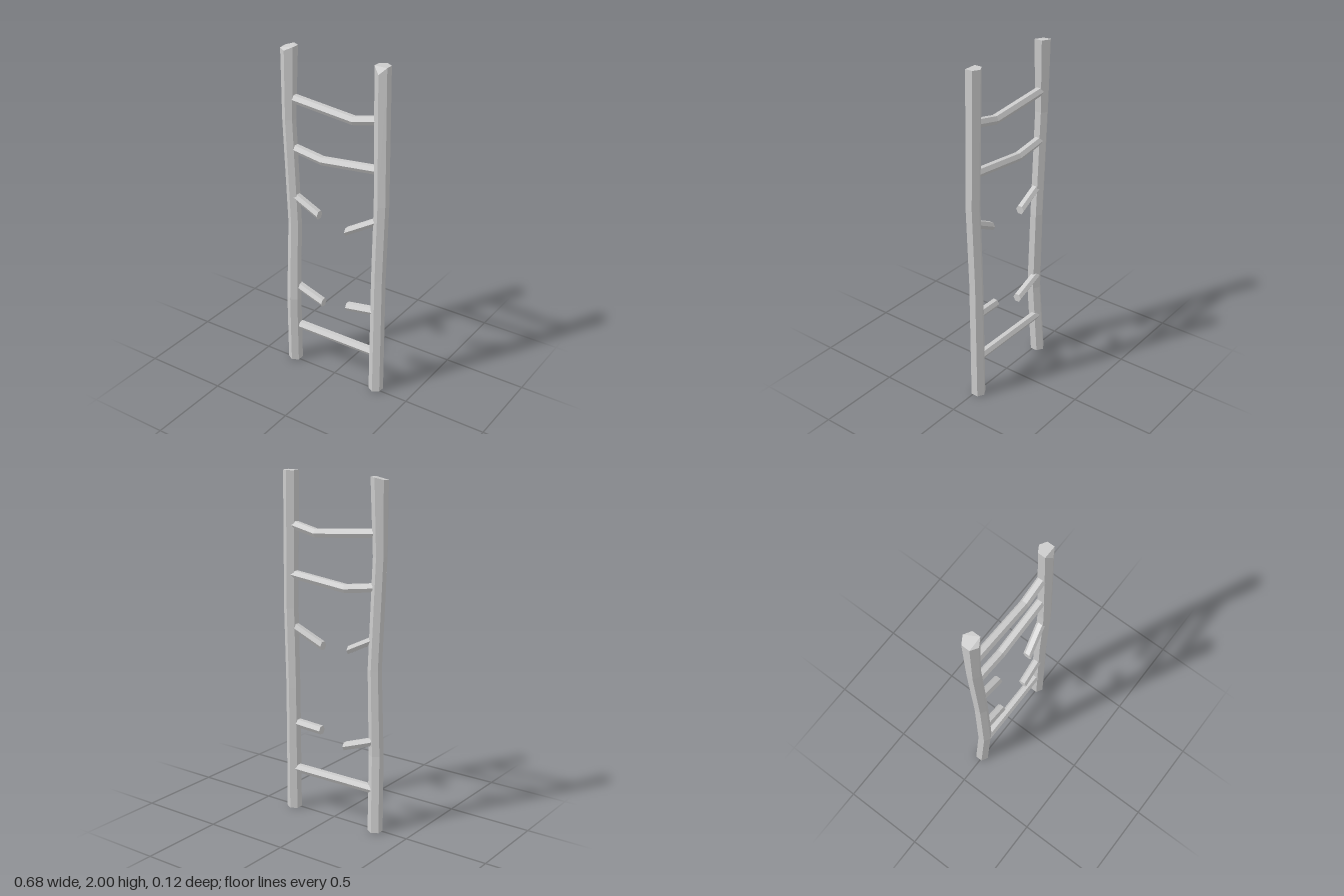
import * as THREE from 'three';

const SIDES = 6;
const material = new THREE.MeshStandardMaterial({
  color: 0xcccccc, flatShading: true, side: THREE.DoubleSide,
});

// Joins six-sided rings into a closed solid.
function loft(name, rings) {
  const index = [];
  const last = (rings.length - 1) * SIDES;
  for (let i = 0; i < rings.length - 1; i++) {
    for (let k = 0; k < SIDES; k++) {
      const a = i * SIDES + k;
      const b = i * SIDES + (k + 1) % SIDES;
      index.push(a, a + SIDES, b, b, a + SIDES, b + SIDES);
    }
  }
  for (let k = 1; k < SIDES - 1; k++) {
    index.push(0, k, k + 1, last, last + k + 1, last + k);
  }
  const indexed = new THREE.BufferGeometry();
  indexed.setAttribute('position', new THREE.Float32BufferAttribute(rings.flat(2), 3));
  indexed.setIndex(index);
  const geometry = indexed.toNonIndexed();
  geometry.computeVertexNormals();
  const mesh = new THREE.Mesh(geometry, material);
  mesh.name = name;
  return mesh;
}

// Upright pole: path entries are [x, y, z, radius]; topCut lowers each top corner.
function pole(name, path, topCut) {
  return loft(name, path.map(([x, y, z, r], i) =>
    topCut.map((cut, k) => {
      const a = (k + 0.5) * Math.PI / 3;
      const drop = i === path.length - 1 ? cut : 0;
      return [x + r * Math.cos(a), y - drop, z + r * Math.sin(a)];
    })));
}

// Crosswise stick: path entries are [x, y, z], running from -x to +x.
function stick(name, path, r = 0.027) {
  return loft(name, path.map(([x, y, z]) =>
    Array.from({ length: SIDES }, (_, k) => {
      const a = k * Math.PI / 3;
      return [x, y + r * Math.sin(a), z + r * Math.cos(a)];
    })));
}

export function createModel() {
  const ladder = new THREE.Group();
  ladder.name = 'brokenLadder';

  // Crooked side poles with rough-cut tops
  ladder.add(
    pole('rightPole', [
      [-0.297, 0, -0.012, 0.043], [-0.283, 0.45, 0.011, 0.042],
      [-0.278, 0.95, -0.005, 0.039], [-0.307, 1.58, -0.008, 0.039],
      [-0.301, 2, -0.012, 0.048],
    ], [0, 0.02, 0.015, 0.012, 0, 0]),
    pole('leftPole', [
      [0.286, 0, -0.012, 0.043], [0.288, 0.75, -0.01, 0.041],
      [0.3, 1.22, -0.006, 0.042], [0.286, 2, -0.013, 0.044],
    ], [0, 0.038, 0, 0, 0, 0]),
  );

  // Whole rungs
  ladder.add(
    stick('bottomRung', [[-0.28, 0.25, -0.012], [0.28, 0.25, -0.012]]),
    stick('upperRung', [[-0.28, 1.41, -0.012], [-0.085, 1.38, -0.011], [0.28, 1.417, -0.012]]),
    stick('topRung', [[-0.28, 1.703, -0.013], [0.115, 1.665, -0.01], [0.275, 1.7, -0.013]]),
  );

  // Snapped rung stubs
  ladder.add(
    stick('lowerRightStub', [[-0.275, 0.533, -0.008], [-0.085, 0.465, -0.012]]),
    stick('lowerLeftStub', [[0.095, 0.515, 0.008], [0.275, 0.534, -0.01]]),
    stick('middleRightStub', [[-0.275, 1.121, -0.005], [-0.11, 1.038, -0.01]]),
    stick('middleLeftStub', [[0.1, 1.016, 0.03], [0.285, 1.118, -0.008]]),
  );
  return ladder;
}
